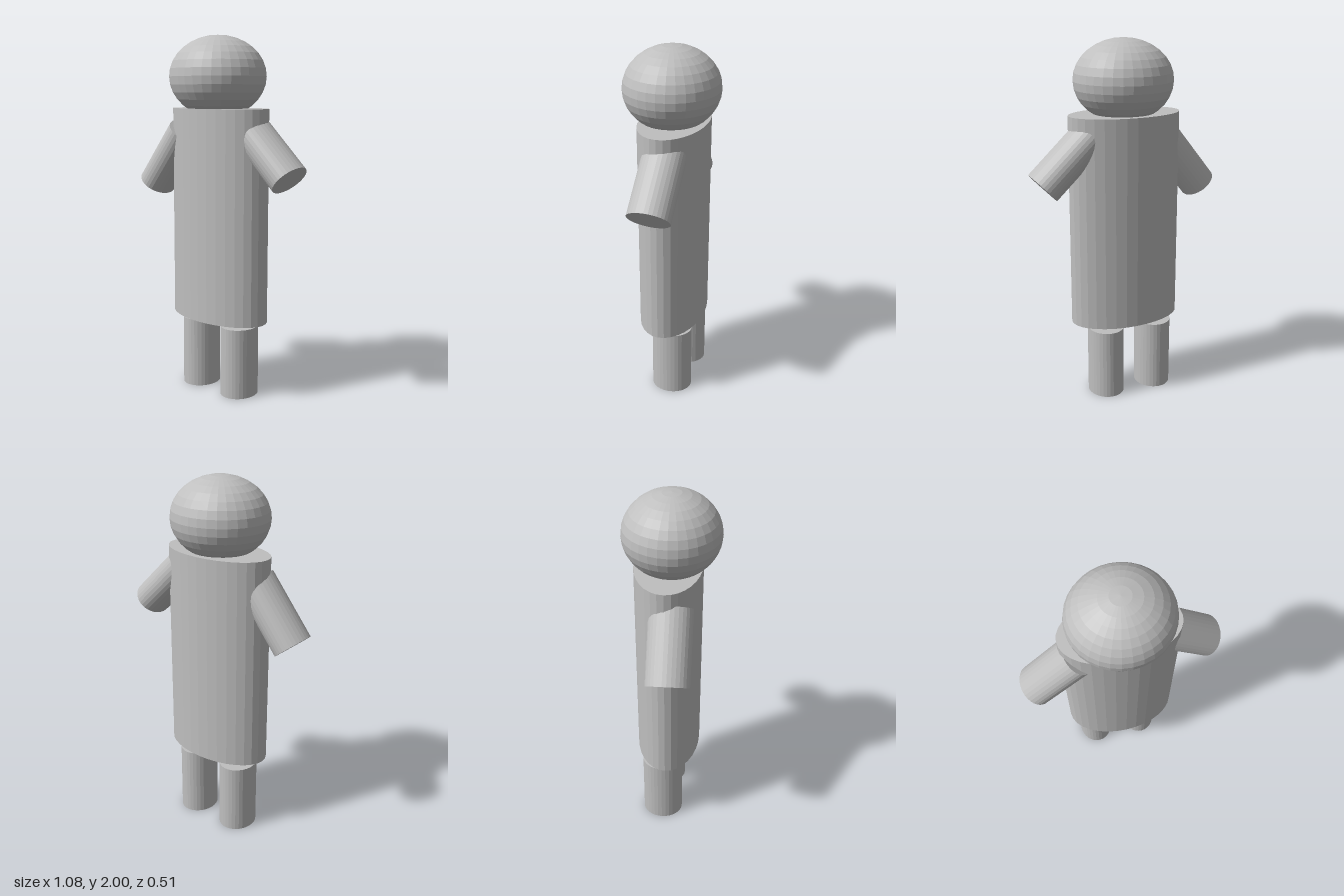
import * as THREE from 'three';

const grey = new THREE.MeshStandardMaterial({ color: 0xbfbfbf, flatShading: true });
grey.name = 'plainGrey';

const SIDES = 32;

// Capped cylinder with an elliptical section, centred on its own origin
function ellipticCylinder(name, rx, rz, height) {
  const geometry = new THREE.CylinderGeometry(1, 1, 1, SIDES);
  geometry.scale(rx, height, rz);
  const mesh = new THREE.Mesh(geometry, grey);
  mesh.name = name;
  return mesh;
}

// Arm running from the hand end towards the shoulder, in the x-y plane
function arm(name, hand, shoulder) {
  const axis = shoulder.clone().sub(hand);
  const mesh = ellipticCylinder(name, 0.099, 0.115, axis.length());
  mesh.position.copy(hand).add(shoulder).multiplyScalar(0.5);
  mesh.rotation.z = Math.atan2(-axis.x, axis.y);
  return mesh;
}

export function createModel() {
  const model = new THREE.Group();
  model.name = 'figure';

  // Head, sunk slightly into the body
  const headGeometry = new THREE.SphereGeometry(1, 32, 16);
  headGeometry.scale(0.27, 0.22, 0.257);
  const head = new THREE.Mesh(headGeometry, grey);
  head.name = 'head';
  head.position.set(0, 1.78, 0);

  // Body
  const body = ellipticCylinder('body', 0.315, 0.18, 1.17);
  body.position.set(0, 1.025, -0.016);

  // Arms, ending inside the body
  const rightArm = arm('rightArm',
    new THREE.Vector3(-0.467, 1.172, 0.015), new THREE.Vector3(-0.221, 1.479, 0.015));
  const leftArm = arm('leftArm',
    new THREE.Vector3(0.472, 1.249, -0.03), new THREE.Vector3(0.188, 1.52, -0.03));

  // Legs, separated from the body by a small gap
  for (const [name, x] of [['rightLeg', -0.164], ['leftLeg', 0.128]]) {
    const leg = ellipticCylinder(name, 0.101, 0.115, 0.4);
    leg.position.set(x, 0.2, -0.041);
    model.add(leg);
  }

  model.add(head, body, rightArm, leftArm);
  return model;
}
